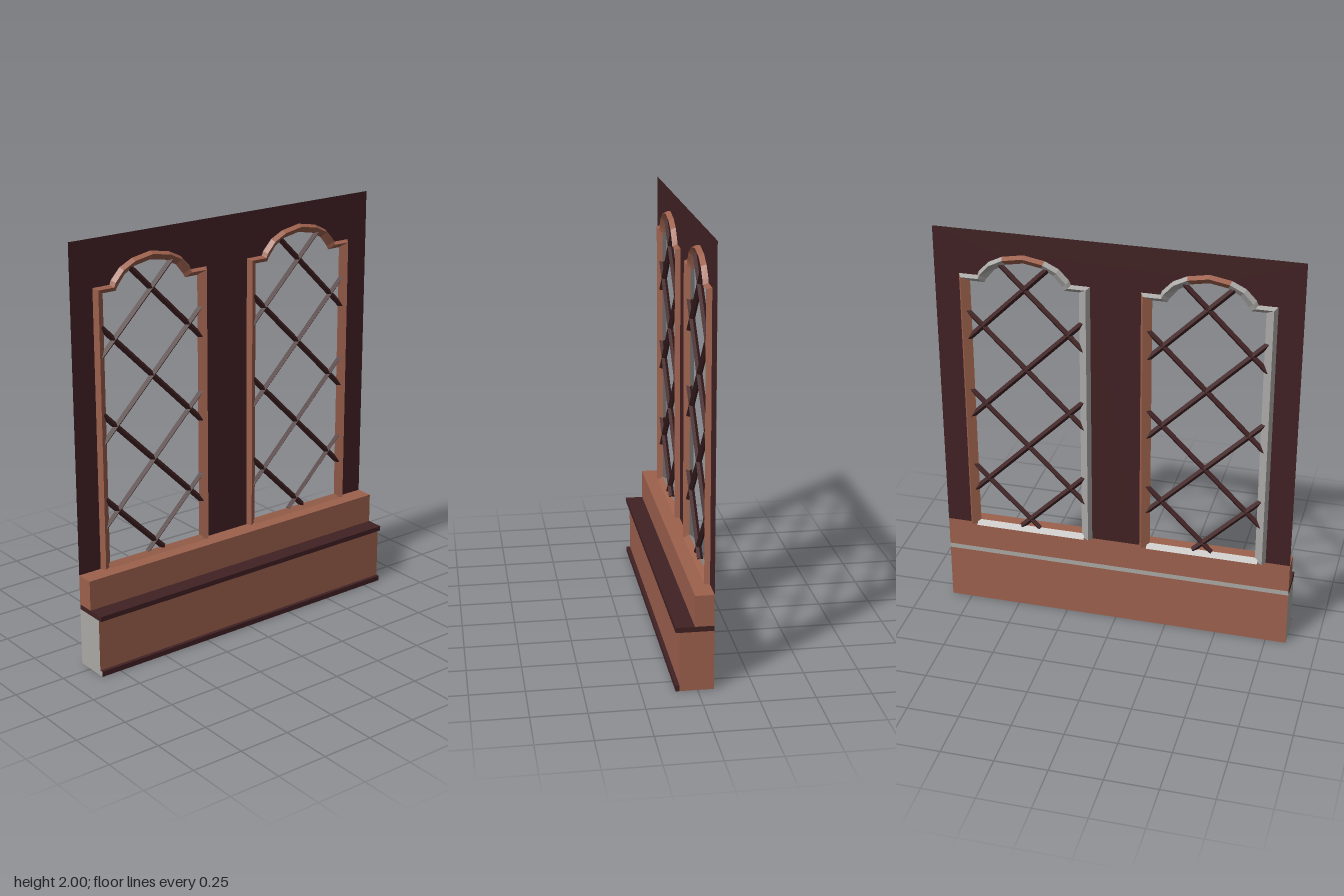
import * as THREE from 'three';

const mat = (name, color, side = THREE.FrontSide) => {
  const m = new THREE.MeshStandardMaterial({ color, side });
  m.name = name;
  return m;
};

const WALL_X = -0.073, LENGTH = 1.7, SILL_Y = 0.447;
const WINDOW_Z = [0.425, -0.425];

// Half outline of a window surround: [distance from its centre, height], foot to crown
const OUTER = [[0.308, SILL_Y], [0.308, 1.78], [0.22, 1.78], [0.212, 1.8], [0.165, 1.85], [0.1, 1.882], [0, 1.9]];
const INNER = [[0.256, SILL_Y], [0.256, 1.748], [0.187, 1.748], [0.178, 1.766], [0.138, 1.815], [0.083, 1.845], [0, 1.86]];
const mirrored = (half) => [...half, ...half.slice(0, -1).reverse().map(([d, y]) => [-d, y])];

// Flat-shaded geometry from a list of quads, corners anticlockwise from outside
function quadGeometry(quads) {
  const pos = [];
  for (const [a, b, c, d] of quads) pos.push(...a, ...b, ...c, ...a, ...c, ...d);
  const g = new THREE.BufferGeometry();
  g.setAttribute('position', new THREE.Float32BufferAttribute(pos, 3));
  g.computeVertexNormals();
  return g;
}

export function createModel() {
  const brown = mat('warm brown', 0x9d614d);
  const dark = mat('dark brown', 0x412123, THREE.DoubleSide);
  const grey = mat('plain grey', 0xaba9a6);
  const model = new THREE.Group();

  const add = (parent, name, geometry, material) => {
    const mesh = new THREE.Mesh(geometry, material);
    mesh.name = name;
    parent.add(mesh);
    return mesh;
  };

  // Base courses: boxes running the full length
  const course = (name, x0, x1, y0, y1, material) => {
    const mesh = add(model, name, new THREE.BoxGeometry(x1 - x0, y1 - y0, LENGTH), material);
    mesh.position.set((x0 + x1) / 2, (y0 + y1) / 2, 0);
  };
  // box face order: +x, -x, +y, -y, +z, -z
  course('plinth', WALL_X, 0.08, 0, 0.278, [brown, brown, brown, brown, grey, brown]);
  course('footTrim', 0.08, 0.098, 0, 0.025, [dark, dark, dark, dark, grey, dark]);
  course('ledgeTrim', WALL_X, 0.098, 0.278, 0.302, [dark, grey, dark, dark, dark, dark]);
  course('upperCourse', WALL_X, 0.013, 0.302, SILL_Y, brown);

  // Thin wall panel, notched from below by both windows
  const wall = new THREE.Shape();
  wall.moveTo(LENGTH / 2, SILL_Y);
  wall.lineTo(LENGTH / 2, 2);
  wall.lineTo(-LENGTH / 2, 2);
  wall.lineTo(-LENGTH / 2, SILL_Y);
  for (const c of [...WINDOW_Z].reverse()) {
    for (const [d, y] of mirrored(OUTER).reverse()) wall.lineTo(c + d, y);
  }
  wall.closePath();
  const panel = add(model, 'wallPanel', new THREE.ShapeGeometry(wall), dark);
  panel.rotation.y = -Math.PI / 2;
  panel.position.x = WALL_X;

  // Surround: a diamond section swept along the outline
  const outer = mirrored(OUTER), inner = mirrored(INNER);
  const sections = outer.map(([od, oy], i) => {
    const [nd, ny] = inner[i];
    const rd = od + (nd - od) * 0.28, ry = oy + (ny - oy) * 0.28;
    return [[WALL_X, oy, od], [-0.049, ry, rd], [WALL_X, ny, nd], [-0.098, ry, rd]];
  });
  const last = sections.length - 1;
  const brownQuads = [[...sections[0]].reverse(), sections[last]];
  const greyQuads = [];
  for (let i = 0; i < last; i++) {
    const a = sections[i], b = sections[i + 1];
    // the crown and the far jamb are brown at the back too
    const brownBack = i === last - 1 || i === last / 2 - 1 || i === last / 2;
    for (let j = 0; j < 4; j++) {
      const k = (j + 1) % 4;
      (j < 2 || brownBack ? brownQuads : greyQuads).push([a[j], a[k], b[k], b[j]]);
    }
  }
  // Sill: a low ridge between the jambs
  const ridge = [[-0.049, SILL_Y], [WALL_X, 0.468], [-0.098, SILL_Y]];
  for (let j = 0; j < 3; j++) {
    const [p, q] = [ridge[j], ridge[(j + 1) % 3]];
    (j === 1 ? greyQuads : brownQuads).push([[...p, -0.27], [...q, -0.27], [...q, 0.27], [...p, 0.27]]);
  }
  const surroundFront = quadGeometry(brownQuads), surroundBack = quadGeometry(greyQuads);

  for (const c of WINDOW_Z) {
    const win = new THREE.Group();
    win.name = c > 0 ? 'frontWindow' : 'rearWindow';
    win.position.z = c;
    model.add(win);
    add(win, 'surround', surroundFront, brown);
    add(win, 'surroundBack', surroundBack, grey);

    // Diagonal lattice bars, clipped to the opening
    for (const yc of [0.51, 0.917, 1.324, 1.731]) {
      const lo = Math.max(-0.275, 0.465 - yc), hi = Math.min(0.275, 1.85 - yc);
      for (const s of [1, -1]) {
        let g = new THREE.CylinderGeometry(0.014, 0.014, (hi - lo) * Math.SQRT2, 4);
        g = g.toNonIndexed();
        g.computeVertexNormals();
        const bar = add(win, 'latticeBar', g, dark);
        const mid = (lo + hi) / 2;
        bar.position.set(WALL_X, yc + mid, s * mid);
        bar.rotation.x = s * Math.PI / 4;
      }
    }
  }
  return model;
}
